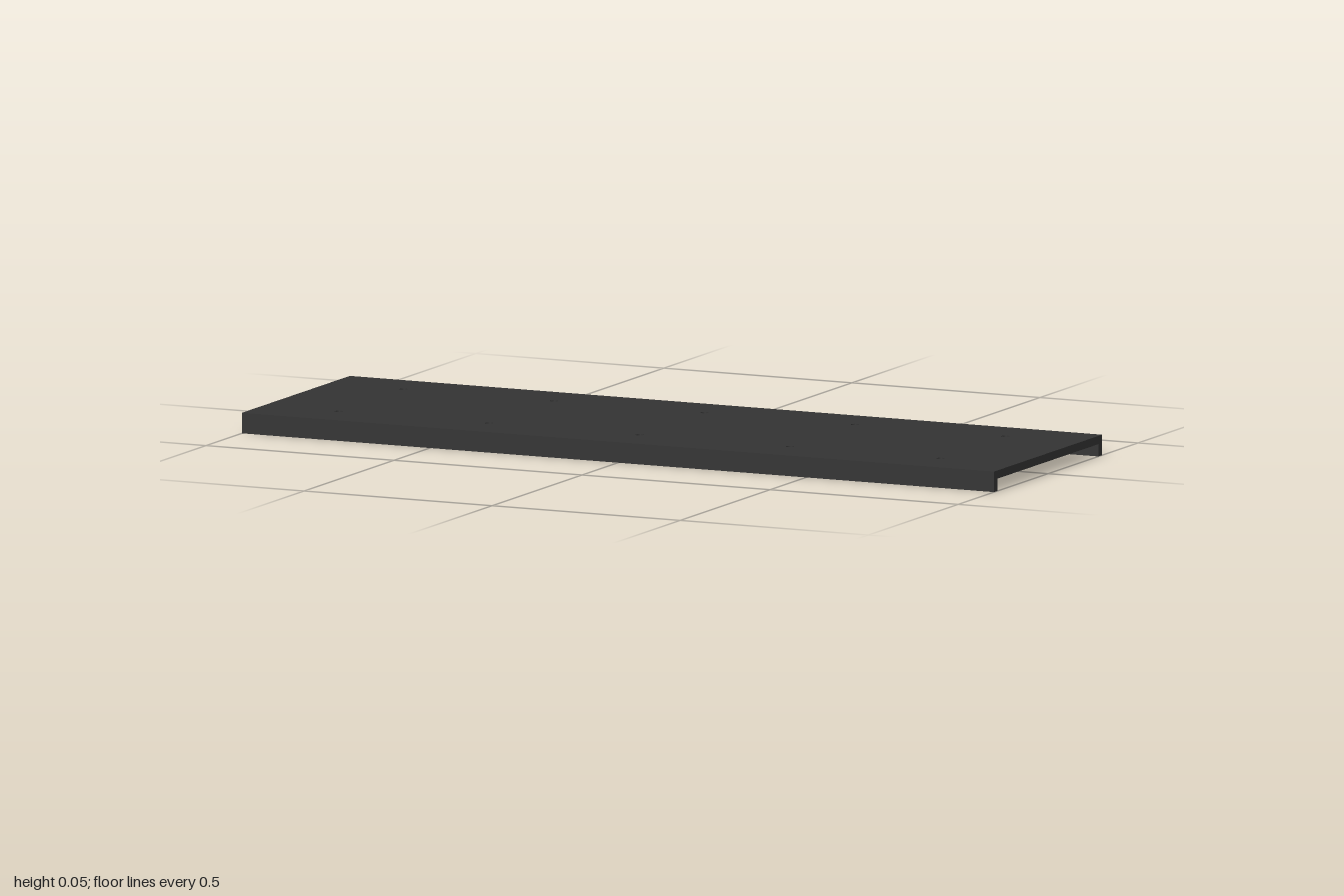
import * as THREE from 'three';

const LENGTH = 2, WIDTH = 0.6, HEIGHT = 0.05;
const PLATE = 0.02, LIP = 0.02, HOLE_RADIUS = 0.01;

export function createModel() {
  const model = new THREE.Group();
  model.name = 'shelfPanel';
  const material = new THREE.MeshStandardMaterial({ color: 0x333333 });

  // Flat top plate with two rows of screw holes
  const outline = new THREE.Shape([
    new THREE.Vector2(-LENGTH / 2, -WIDTH / 2),
    new THREE.Vector2(LENGTH / 2, -WIDTH / 2),
    new THREE.Vector2(LENGTH / 2, WIDTH / 2),
    new THREE.Vector2(-LENGTH / 2, WIDTH / 2),
  ]);
  for (const z of [-0.18, 0.18]) {
    for (let i = -2; i <= 2; i++) {
      const hole = new THREE.Path();
      hole.absarc(i * 0.4, z, HOLE_RADIUS, 0, Math.PI * 2, true);
      outline.holes.push(hole);
    }
  }
  const plateGeometry = new THREE.ExtrudeGeometry(outline, {
    depth: PLATE, bevelEnabled: false, curveSegments: 24,
  });
  plateGeometry.rotateX(-Math.PI / 2);
  const plate = new THREE.Mesh(plateGeometry, material);
  plate.name = 'topPlate';
  plate.position.y = HEIGHT - PLATE;
  model.add(plate);

  // Downturned lips along the front and back edges
  const lipHeight = HEIGHT - PLATE;
  for (const [name, side] of [['frontLip', 1], ['backLip', -1]]) {
    const lip = new THREE.Mesh(new THREE.BoxGeometry(LENGTH, lipHeight, LIP), material);
    lip.name = name;
    lip.position.set(0, lipHeight / 2, side * (WIDTH - LIP) / 2);
    model.add(lip);
  }
  return model;
}
